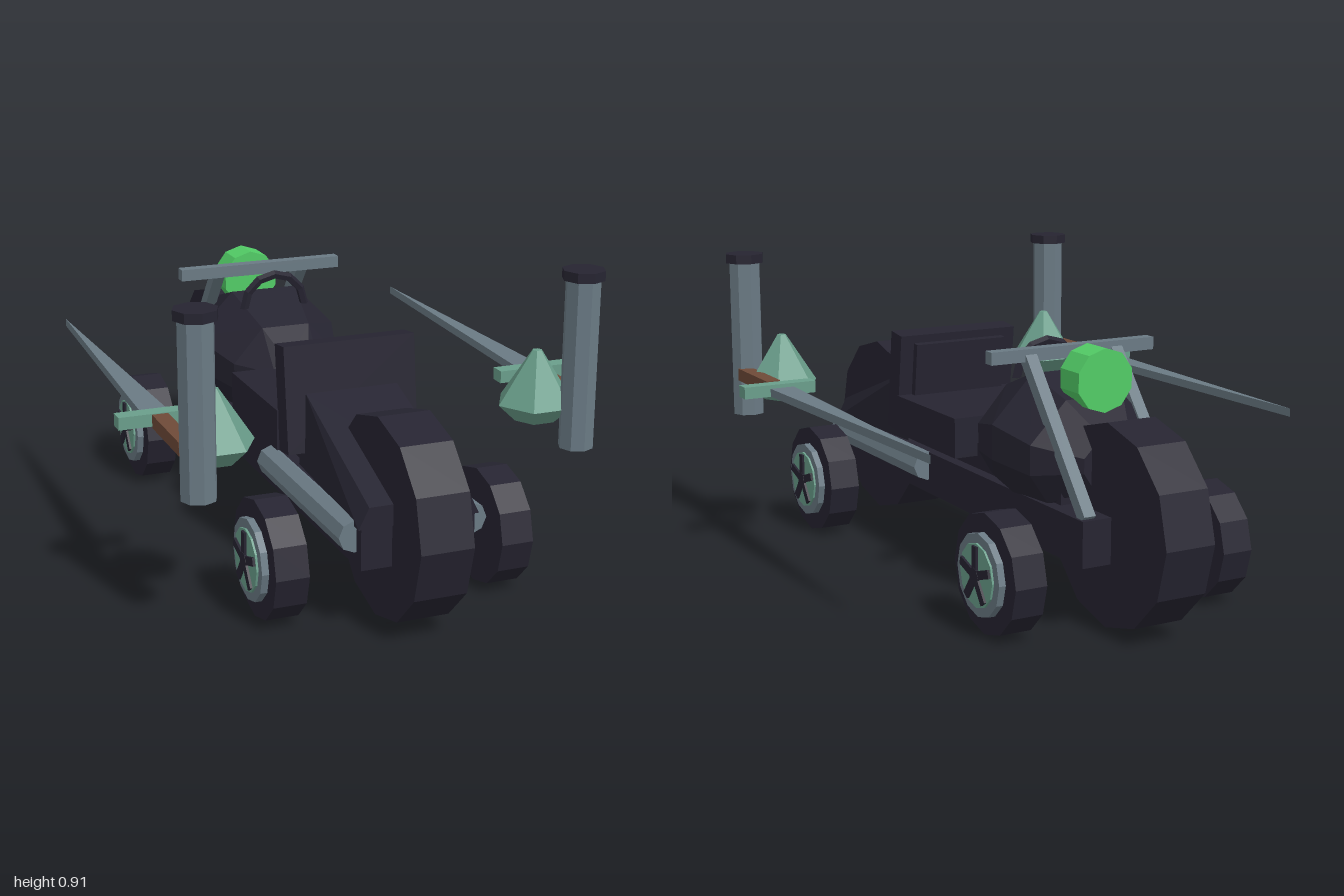
import * as THREE from 'three';
import { ConvexGeometry } from 'three/addons/geometries/ConvexGeometry.js';

const mat = (name, color) => {
  const m = new THREE.MeshStandardMaterial({ color, flatShading: true });
  m.name = name;
  return m;
};

export function createModel() {
  const dark = mat('dark body', 0x262431);
  const steel = mat('grey steel', 0x6a7a84);
  const sage = mat('sage metal', 0x6a9e8b);
  const glow = mat('bright green lamp', 0x52cc66);
  const brown = mat('brown grip', 0x6e4a38);

  const root = new THREE.Group();
  const add = (name, geo, material, x = 0, y = 0, z = 0, parent = root) => {
    const m = new THREE.Mesh(geo, material);
    m.name = name;
    m.position.set(x, y, z);
    parent.add(m);
    return m;
  };
  const box = (w, h, d) => new THREE.BoxGeometry(w, h, d);
  const cyl = (r, h, n) => new THREE.CylinderGeometry(r, r, h, n);
  const cylX = (r, h, n) => cyl(r, h, n).rotateZ(Math.PI / 2);
  const cylZ = (r, h, n) => cyl(r, h, n).rotateX(Math.PI / 2);
  const hull = (pts) => new ConvexGeometry(pts.map((p) => new THREE.Vector3(...p)));

  // Large centre wheels
  for (const z of [0.715, -0.715]) {
    add('mainWheel', cylX(0.285, 0.152, 12), dark, 0, 0.292, z);
  }

  // Chassis, seat and backrest
  add('chassis', box(0.33, 0.13, 1.56), dark, 0, 0.257, 0.04);
  add('frameSpine', box(0.26, 0.1, 0.9), dark, 0, 0.35, -0.12);
  add('seat', box(0.41, 0.12, 0.39), dark, 0, 0.42, 0.105);
  const back = new THREE.Group();
  back.name = 'backrest';
  back.position.set(0, 0.52, 0.325);
  back.rotation.x = -0.12;
  root.add(back);
  add('backrestFrame', box(0.4, 0.31, 0.07), dark, 0, 0, 0, back);
  add('backrestCushion', box(0.31, 0.2, 0.025), dark, 0, 0.03, -0.045, back);

  // Sloping tail cover
  const cover = [];
  for (const s of [-1, 1]) {
    cover.push([s * 0.15, 0.31, 0.33], [s * 0.14, 0.54, 0.36], [s * 0.175, 0.31, 0.825], [s * 0.145, 0.37, 0.825]);
  }
  add('tailCover', hull(cover), dark);

  // Faceted tank: z, half width, bottom, top
  const tank = [];
  for (const [z, w, b, t] of [
    [-0.065, 0.075, 0.42, 0.5], [-0.17, 0.17, 0.32, 0.585], [-0.37, 0.235, 0.32, 0.655],
    [-0.53, 0.205, 0.32, 0.605], [-0.64, 0.1, 0.38, 0.52],
  ]) {
    const h = t - b;
    for (const s of [-1, 1]) {
      tank.push([s * w * 0.72, b, z], [s * w, b + h * 0.3, z], [s * w, b + h * 0.6, z], [s * w * 0.45, t, z]);
    }
  }
  add('tank', hull(tank), dark);

  // Arched handle on the tank
  add('tankHandle', new THREE.TorusGeometry(0.1, 0.014, 5, 6, Math.PI), dark, 0, 0.625, -0.27);

  // Handlebar, fork and lamp
  add('handlebar', box(0.53, 0.036, 0.036), steel, 0, 0.717, -0.405);
  add('lamp', cylZ(0.09, 0.095, 10), glow, 0, 0.66, -0.537);

  // Spoked side wheel; the outer face points to +x before mirroring
  const sideWheel = (s, z) => {
    const w = new THREE.Group();
    w.name = 'sideWheel';
    w.position.set(s * 0.285, 0.17, z);
    if (s < 0) w.rotation.y = Math.PI;
    root.add(w);
    add('tire', cylX(0.17, 0.095, 12), dark, 0.0475, 0, 0, w);
    add('rim', cylX(0.117, 0.02, 12), steel, 0.105, 0, 0, w);
    add('hubDisc', cylX(0.09, 0.008, 12), sage, 0.117, 0, 0, w);
    add('hubCap', cylX(0.024, 0.014, 8), dark, 0.122, 0, 0, w);
    for (let i = 0; i < 5; i++) {
      const spoke = box(0.012, 0.08, 0.024).translate(0, 0.042, 0).rotateX((i * Math.PI * 2) / 5);
      add('spoke', spoke, dark, 0.122, 0, 0, w);
    }
  };

  // Blade outline: width across x, length along -z
  const bladeShape = new THREE.Shape([
    new THREE.Vector2(-0.038, 0), new THREE.Vector2(0.038, 0), new THREE.Vector2(0, 0.99),
  ]);
  const bladeGeo = new THREE.ExtrudeGeometry(bladeShape, { depth: 0.024, bevelEnabled: false }).rotateX(-Math.PI / 2);

  // Gem: six-sided double taper
  const gemGeo = new THREE.LatheGeometry(
    [[0, -0.05], [0.062, -0.05], [0.115, 0], [0.014, 0.153], [0, 0.153]].map((p) => new THREE.Vector2(...p)),
    6, Math.PI / 2);

  for (const s of [-1, 1]) {
    sideWheel(s, 0.59);
    sideWheel(s, -0.59);
    add('exhaust', cylZ(0.046, 0.63, 8), steel, s * 0.17, 0.28, 0.475);
    const fork = add('forkStrut', box(0.036, 0.5, 0.036), steel, s * 0.14, 0.515, -0.565);
    fork.rotation.x = 0.68;

    // Floating side gear
    add('stack', cyl(0.05, 0.49, 8), steel, s * 0.557, 0.64, 0.663);
    add('stackCap', cyl(0.061, 0.028, 8), dark, s * 0.557, 0.894, 0.663);
    add('gem', gemGeo, sage, s * 0.48, 0.505, 0.56);
    add('grip', box(0.045, 0.038, 0.24), brown, s * 0.577, 0.527, 0.515);
    add('guard', box(0.23, 0.036, 0.046), sage, s * 0.576, 0.527, 0.363);
    add('blade', bladeGeo, steel, s * 0.576, 0.513, 0.325);
  }
  return root;
}
